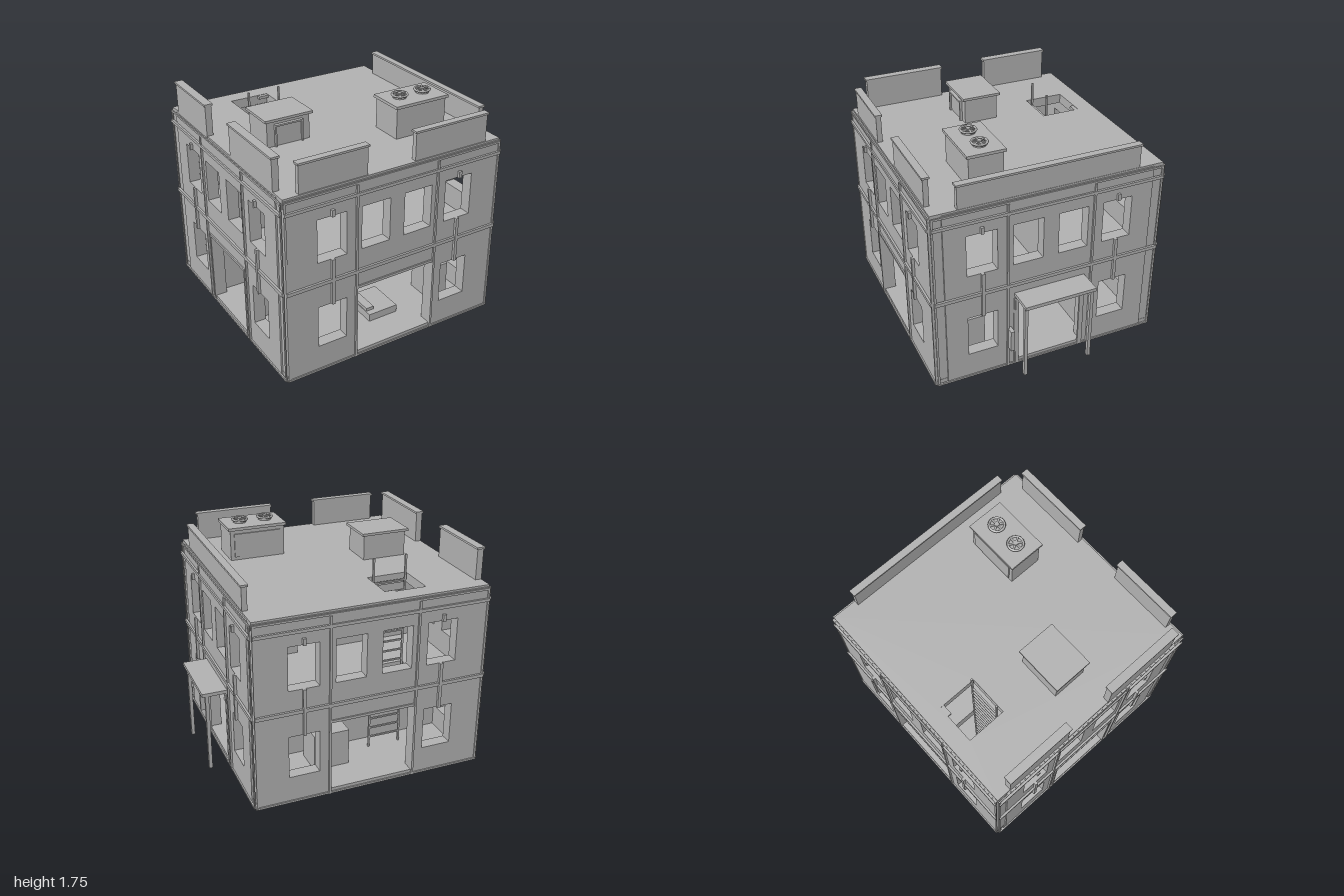
import * as THREE from 'three';

const CX = -0.09;    // centre of the building in x
const HALF = 0.895;  // half width of the square plan
const T = 0.09;      // wall thickness
const TOP = 1.44;

const concrete = new THREE.MeshStandardMaterial({ color: 0xb0b0b0 });
concrete.name = 'concrete grey';

function add(parent, name, geometry) {
  const mesh = new THREE.Mesh(geometry, concrete);
  mesh.name = name;
  parent.add(mesh);
  return mesh;
}

// Box given by its lower and upper corner
function box(parent, name, x0, x1, y0, y1, z0, z1) {
  const mesh = add(parent, name, new THREE.BoxGeometry(x1 - x0, y1 - y0, z1 - z0));
  mesh.position.set((x0 + x1) / 2, (y0 + y1) / 2, (z0 + z1) / 2);
  return mesh;
}

function rectPath(PathType, x0, x1, y0, y1) {
  const p = new PathType();
  p.moveTo(x0, y0);
  p.lineTo(x1, y0);
  p.lineTo(x1, y1);
  p.lineTo(x0, y1);
  p.closePath();
  return p;
}

// Flat plate with rectangular holes, extruded from z = 0 to depth
function plate(rect, holes, depth) {
  const shape = rectPath(THREE.Shape, ...rect);
  for (const h of holes) shape.holes.push(rectPath(THREE.Path, ...h));
  return new THREE.ExtrudeGeometry(shape, { depth, bevelEnabled: false });
}

// Horizontal slab in x and z, with holes [x0, x1, z0, z1]
function slab(parent, name, half, y0, y1, holes) {
  const flipped = holes.map(([a, b, c, d]) => [a, b, -d, -c]);
  const geo = plate([CX - half, CX + half, -half, half], flipped, y1 - y0);
  geo.rotateX(-Math.PI / 2);
  add(parent, name, geo).position.y = y0;
}

// One outer wall with its windows, doorway and trim; it faces local +z
function facade(name, angle, doorHalf, isSide) {
  const g = new THREE.Group();
  g.name = name;
  const holes = [[-doorHalf, doorHalf, 0.05, 0.6]];
  for (const u of [-0.525, -0.175, 0.175, 0.525]) {
    holes.push([u - 0.115, u + 0.115, 0.91, 1.24]);
    if (Math.abs(u) > 0.4) holes.push([u - 0.115, u + 0.115, 0.22, 0.55]);
  }
  const half = isSide ? HALF - T : HALF - 0.012;
  const wall = plate([-half, half, 0.01, TOP], holes, T);
  add(g, 'wall', wall).position.z = HALF - T;

  const z = HALF - 0.002;
  // Horizontal string courses and cornice
  for (const [y0, y1, out] of [[0.01, 0.025, 0.01], [0.73, 0.757, 0.016], [1.335, 1.358, 0.016], [1.42, 1.435, 0.008]])
    box(g, 'stringCourse', -0.885, 0.885, y0, y1, z, HALF + out);
  for (const s of [-1, 1]) {
    // Strips beside the doorway and at the corners
    box(g, 'pilaster', s * 0.333 - 0.008, s * 0.333 + 0.008, 0.01, 1.42, z, HALF + 0.014);
    box(g, 'cornerStrip', s * 0.878 - 0.008, s * 0.878 + 0.008, 0.01, 1.42, z, HALF + 0.006);
    // Downpipe between the outer windows, and the stub above
    box(g, 'downpipe', s * 0.525 - 0.012, s * 0.525 + 0.012, 0.55, 0.91, z, HALF + 0.02);
    box(g, 'pipeStub', s * 0.525 - 0.012, s * 0.525 + 0.012, 1.24, 1.29, z, HALF + 0.02);
    // Door jambs
    box(g, 'doorJamb', s * (doorHalf + 0.008) - 0.008, s * (doorHalf + 0.008) + 0.008, 0.02, 0.61, z, HALF + 0.008);
  }
  box(g, 'doorLintel', -doorHalf - 0.016, doorHalf + 0.016, 0.6, 0.62, z, HALF + 0.01);
  box(g, 'centrePanelTop', -0.33, 0.33, 1.36, 1.42, z, HALF + 0.006);
  g.rotation.y = angle;
  g.position.x = CX;
  return g;
}

// Parapet wall with a wider coping
function parapet(parent, x0, x1, z0, z1, top) {
  const e = 0.008;
  box(parent, 'parapet', x0 + e, x1 - e, 1.44, top - 0.015, z0 + e, z1 - e);
  box(parent, 'parapetCoping', x0, x1, top - 0.015, top, z0, z1);
}

export function createModel() {
  const model = new THREE.Group();
  model.name = 'building';

  // Outer walls
  model.add(
    facade('frontWall', 0, 0.325, false),
    facade('leftWall', Math.PI / 2, 0.27, true),
    facade('backWall', Math.PI, 0.325, false),
    facade('rightWall', -Math.PI / 2, 0.28, true)
  );

  // Base, floors and roof, pierced for the ladder
  const hatch = [-0.54, -0.23, -0.75, -0.445];
  slab(model, 'base', HALF - 0.005, 0, 0.015, []);
  slab(model, 'groundFloor', HALF - 0.01, 0.012, 0.05, []);
  slab(model, 'upperFloor', HALF - T + 0.01, 0.62, 0.73, [hatch]);
  slab(model, 'roof', HALF - 0.01, 1.38, 1.455, [hatch]);
  box(model, 'hatchLedge', -0.31, -0.23, 1.43, 1.452, -0.75, -0.72);

  // Inner partitions, with a gap for a passage
  const inL = CX - HALF + T, inR = CX + HALF - T;
  box(model, 'lowerPartition', inL, -0.09, 0.05, 0.62, 0.14, 0.17);
  box(model, 'rearPartition', inL, inR, 0.05, 0.62, -0.36, -0.33);
  box(model, 'innerDoor', -0.02, 0.24, 0.05, 0.49, -0.335, -0.322);
  box(model, 'upperPartition', inL, -0.045, 0.73, 1.38, -0.015, 0.015);
  box(model, 'upperPartition', 0.15, inR, 0.73, 1.38, -0.015, 0.015);
  box(model, 'passageLintel', -0.045, 0.15, 1.22, 1.38, -0.015, 0.015);

  // Ladder from the ground floor through the roof
  const ladder = new THREE.Group();
  ladder.name = 'ladder';
  for (const x of [-0.515, -0.26]) box(ladder, 'ladderRail', x - 0.007, x + 0.007, 0.05, 1.61, -0.49, -0.476);
  for (let y = 0.13; y < 1.45; y += 0.08) box(ladder, 'rung', -0.515, -0.26, y, y + 0.012, -0.49, -0.476);
  model.add(ladder);

  // Furniture
  box(model, 'mattress', -0.14, 0.11, 0.05, 0.11, 0.35, 0.65);
  box(model, 'pillow', -0.135, -0.07, 0.11, 0.135, 0.4, 0.6);
  box(model, 'counter', -0.02, 0.26, 0.05, 0.34, -0.64, -0.42);
  for (const s of [-1, 1]) {
    const x = CX + s * 0.59;
    box(model, 'cabinet', x - 0.08, x + 0.08, 0.05, 0.34, 0.42, 0.66);
    box(model, 'cabinetTop', x - 0.085, x + 0.085, 0.34, 0.37, 0.42, 0.445);
  }

  // Roof parapets
  parapet(model, -0.86, -0.32, 0.83, 0.885, 1.675);
  parapet(model, 0.05, 0.68, 0.83, 0.885, 1.675);
  parapet(model, -0.985, -0.92, -0.78, -0.23, 1.7);
  parapet(model, -0.985, -0.92, 0.135, 0.77, 1.7);
  parapet(model, 0.745, 0.8, -0.7, 0.7, 1.64);

  // Roof hut with a framed door
  const hut = new THREE.Group();
  hut.name = 'roofHut';
  box(hut, 'hutBody', -0.7, -0.36, 1.45, 1.65, -0.1, 0.165);
  box(hut, 'hutCap', -0.72, -0.34, 1.648, 1.667, -0.12, 0.185);
  box(hut, 'hutDoor', -0.63, -0.43, 1.46, 1.61, 0.16, 0.172);
  for (const x of [-0.635, -0.425]) box(hut, 'hutDoorFrame', x - 0.006, x + 0.006, 1.455, 1.62, 0.16, 0.185);
  box(hut, 'hutDoorFrame', -0.641, -0.419, 1.61, 1.622, 0.16, 0.19);
  model.add(hut);

  // Ventilation unit with two fans
  const vent = new THREE.Group();
  vent.name = 'ventUnit';
  box(vent, 'ventBody', 0.15, 0.575, 1.45, 1.69, 0.26, 0.52);
  box(vent, 'ventCap', 0.135, 0.59, 1.688, 1.71, 0.245, 0.535);
  box(vent, 'ventPanel', 0.18, 0.545, 1.48, 1.66, 0.25, 0.262);
  for (const x of [0.26, 0.46]) {
    const ring = add(vent, 'fanRing', new THREE.TorusGeometry(0.056, 0.009, 6, 24));
    ring.rotation.x = Math.PI / 2;
    ring.position.set(x, 1.733, 0.39);
    const base = add(vent, 'fanBase', new THREE.CylinderGeometry(0.05, 0.05, 0.018, 20));
    base.position.set(x, 1.717, 0.39);
    const hub = add(vent, 'fanHub', new THREE.CylinderGeometry(0.018, 0.018, 0.02, 12));
    hub.position.set(x, 1.735, 0.39);
    for (let i = 0; i < 3; i++) {
      const blade = add(vent, 'fanBlade', new THREE.BoxGeometry(0.11, 0.008, 0.014));
      blade.position.set(x, 1.735, 0.39);
      blade.rotation.y = i * Math.PI / 3;
    }
  }
  model.add(vent);

  // Canopy on two posts over the side door
  const canopy = new THREE.Group();
  canopy.name = 'canopy';
  box(canopy, 'canopyRoof', 0.8, 0.995, 0.635, 0.662, -0.28, 0.28);
  for (const z of [-0.262, 0.262]) {
    box(canopy, 'canopyPost', 0.943, 0.97, 0.018, 0.636, z - 0.013, z + 0.013);
    box(canopy, 'wallPost', 0.8, 0.815, 0.018, 0.636, z - 0.013, z + 0.013);
  }
  model.add(canopy);
  box(model, 'wallBox', 0.8, 0.87, 0.19, 0.365, 0.305, 0.335);

  return model;
}
